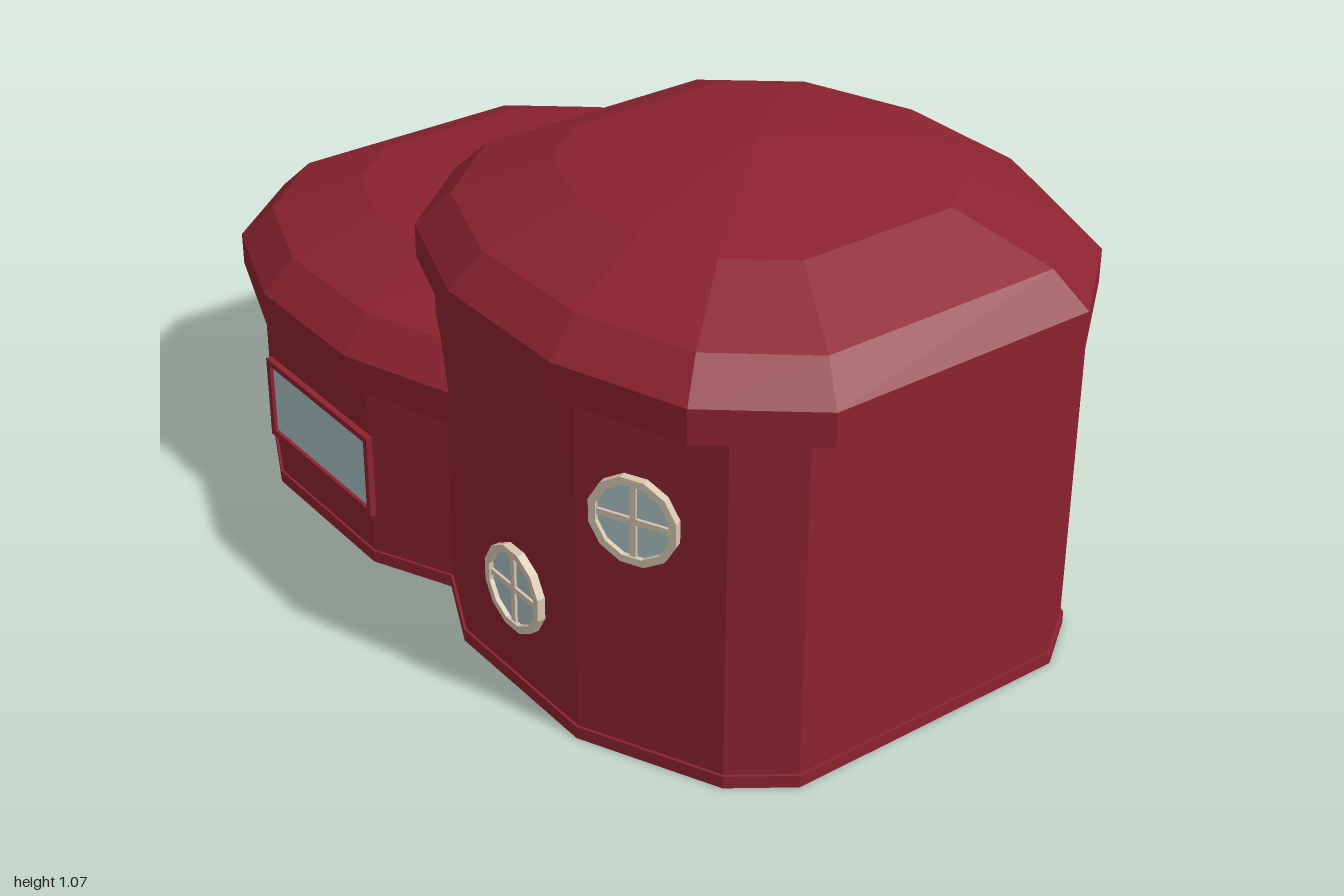
import * as THREE from 'three';

const mat = (name, color) => {
  const m = new THREE.MeshStandardMaterial({ color, flatShading: true });
  m.name = name;
  return m;
};

// Twelve-sided outline mirrored from one quadrant of [x, z] corners
function outline(q) {
  const r = [...q].reverse();
  return [
    ...q, ...r.map(([x, z]) => [-x, z]),
    ...q.map(([x, z]) => [-x, -z]), ...r.map(([x, z]) => [x, -z]),
  ];
}

// Stacks scaled copies of an outline; rows are [scale, y], scale 0 closes the end
function loft(poly, rows) {
  const pos = [];
  const at = ([s, y], i) => {
    const [x, z] = poly[i % poly.length];
    return [x * s, y, z * s];
  };
  for (let k = 0; k < rows.length - 1; k++) {
    const lo = rows[k], hi = rows[k + 1];
    for (let i = 0; i < poly.length; i++) {
      if (lo[0] > 0) pos.push(...at(lo, i), ...at(hi, i), ...at(lo, i + 1));
      if (hi[0] > 0) pos.push(...at(lo, i + 1), ...at(hi, i), ...at(hi, i + 1));
    }
  }
  const g = new THREE.BufferGeometry();
  g.setAttribute('position', new THREE.Float32BufferAttribute(pos, 3));
  g.computeVertexNormals();
  return g;
}

const WALL = outline([[0.575, 0.33], [0.49, 0.45], [0.2, 0.585]]);
const ROOF = outline([[0.6175, 0.31], [0.45, 0.515], [0.17, 0.615]]);

// Rectangle with clipped upper corners, standing on y = bottom
function panel(w, bottom, top, clip = 0) {
  const h = w / 2;
  const pts = [[-h, bottom], [h, bottom], [h, top - clip], [h - clip, top], [clip - h, top], [-h, top - clip]];
  return pts.map(([x, y]) => new THREE.Vector2(x, y));
}

const circle = (r, n = 12) => Array.from({ length: n }, (_, i) => {
  const a = ((i + 0.5) / n) * Math.PI * 2;
  return new THREE.Vector2(Math.cos(a) * r, Math.sin(a) * r);
});

function plate(outer, depth, inner) {
  const s = new THREE.Shape(outer);
  if (inner) s.holes.push(new THREE.Path(inner));
  return new THREE.ExtrudeGeometry(s, { depth, bevelEnabled: false });
}

export function createModel() {
  const red = mat('red', 0x8c2330);
  const cream = mat('cream', 0xd6c6b0);
  const glass = mat('glass', 0xaac0c3);
  const metal = mat('dark metal', 0x4a3a34);
  const model = new THREE.Group();
  model.name = 'house';

  const add = (parent, name, geo, m, x = 0, y = 0, z = 0) => {
    const mesh = new THREE.Mesh(geo, m);
    mesh.name = name;
    mesh.position.set(x, y, z);
    parent.add(mesh);
    return mesh;
  };
  // Group lying on a wall, its local +z pointing outward
  const onWall = (name, x, y, z, turn) => {
    const g = new THREE.Group();
    g.name = name;
    g.position.set(x, y, z);
    g.rotation.y = turn;
    model.add(g);
    return g;
  };

  // The two round blocks: base, wall and domed roof
  for (const [name, x, eave] of [['tall', 0.3825, 0.775], ['low', -0.3825, 0.437]]) {
    const block = new THREE.Group();
    block.name = name + 'Block';
    block.position.x = x;
    model.add(block);
    add(block, 'base', loft(WALL, [[0, 0], [1.009, 0], [1.009, 0.028], [0, 0.028]]), red);
    add(block, 'wall', loft(WALL, [[1, 0.02], [1, eave + 0.01]]), red);
    add(block, 'roof', loft(ROOF, [
      [0, eave], [1, eave], [1, eave + 0.074], [0.89, eave + 0.147],
      [0.59, eave + 0.23], [0, eave + 0.29],
    ]), red);
  }

  // Round windows with a cross bar
  const slant = Math.atan2(0.135, 0.29);
  const roundWindows = [
    [0.3825, 0.247, 0.585, 0], [0.7, 0.555, 0.529, slant],
    [0.3825, 0.555, -0.585, Math.PI], [0.7, 0.247, -0.529, Math.PI - slant],
  ];
  for (const [x, y, z, turn] of roundWindows) {
    const w = onWall('roundWindow', x, y, z, turn);
    add(w, 'frame', plate(circle(0.096), 0.028, circle(0.08)), cream, 0, 0, -0.01);
    add(w, 'pane', plate(circle(0.082), 0.008), glass);
    add(w, 'uprightBar', new THREE.BoxGeometry(0.013, 0.16, 0.012), cream, 0, 0, 0.008);
    add(w, 'crossBar', new THREE.BoxGeometry(0.16, 0.013, 0.012), cream, 0, 0, 0.008);
  }

  // Wide windows at the front and back of the low block
  for (const side of [1, -1]) {
    const w = onWall('wideWindow', -0.3825, 0, 0.585 * side, side > 0 ? 0 : Math.PI);
    add(w, 'frame', plate(panel(0.43, 0.125, 0.322), 0.014, panel(0.4, 0.14, 0.308)), red);
    add(w, 'pane', plate(panel(0.402, 0.139, 0.309), 0.006), glass);
  }

  // Back door of the tall block
  const back = onWall('backDoor', 0.3825, 0, -0.585, Math.PI);
  add(back, 'frame', plate(panel(0.15, 0, 0.245, 0.02), 0.018, panel(0.12, 0.008, 0.23, 0.012)), red);
  add(back, 'leaf', plate(panel(0.122, 0.006, 0.231, 0.012), 0.01), red);
  add(back, 'pane', plate(panel(0.08, 0.15, 0.2), 0.004), glass, 0, 0, 0.009);
  add(back, 'knob', new THREE.SphereGeometry(0.007, 8, 6), metal, 0.045, 0.105, 0.016);

  // Glazed side door of the low block
  const side = onWall('sideDoor', -0.9575, 0, -0.18, -Math.PI / 2);
  add(side, 'frame', plate(panel(0.18, 0, 0.26, 0.02), 0.015, panel(0.156, 0.006, 0.248, 0.014)), red);
  add(side, 'leaf', plate(panel(0.156, 0.006, 0.248, 0.014), 0.022, panel(0.126, 0.025, 0.232, 0.01)), cream);
  add(side, 'pane', plate(panel(0.128, 0.024, 0.233, 0.01), 0.008), glass, 0, 0, 0.006);
  add(side, 'knob', new THREE.SphereGeometry(0.007, 8, 6), metal, 0.068, 0.115, 0.026);

  return model;
}
